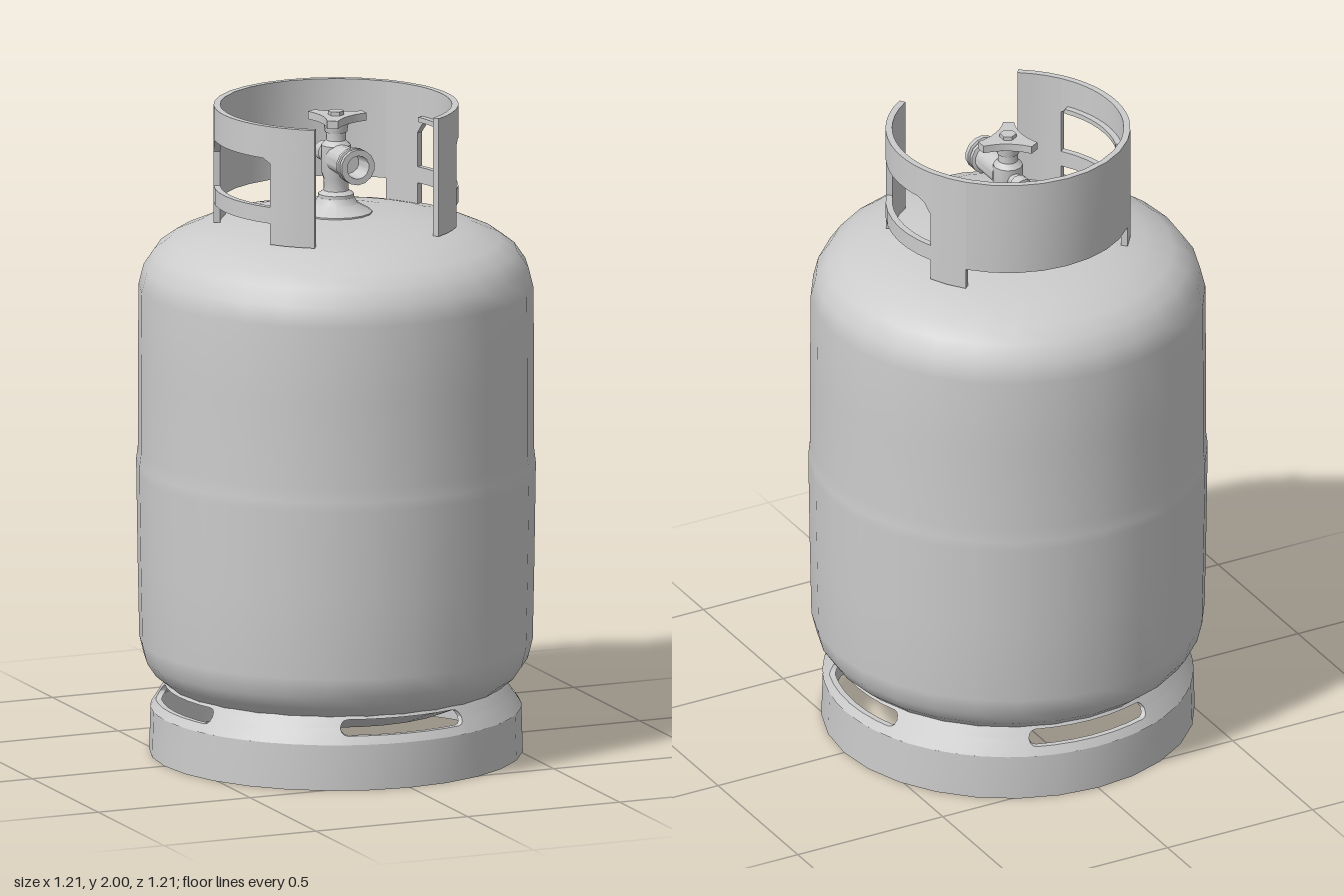
import * as THREE from 'three';
import { toCreasedNormals } from 'three/addons/utils/BufferGeometryUtils.js';

const DEG = Math.PI / 180;
const grey = new THREE.MeshStandardMaterial({ color: 0xcccccc, side: THREE.DoubleSide });

function add(parent, name, geometry, y = 0) {
  const mesh = new THREE.Mesh(geometry, grey);
  mesh.name = name;
  mesh.position.y = y;
  parent.add(mesh);
  return mesh;
}

function lathe(points, segments) {
  const geo = new THREE.LatheGeometry(points.map(([r, y]) => new THREE.Vector2(r, y)), segments);
  return geo;
}

const creased = (geo) => toCreasedNormals(geo, 35 * DEG);

// Evenly spaced angles in degrees, measured from the front (+z) towards +x
function sweep(from, to, steps) {
  return Array.from({ length: steps + 1 }, (_, i) => from + ((to - from) * i) / steps);
}

// Curved wall: low, high and radius may be numbers or functions
function band(angles, low, high, radius, thickness) {
  const value = (f, v) => (typeof f === 'function' ? f(v) : f);
  const pos = [], index = [];
  for (const a of angles) {
    const y0 = value(low, a), y1 = value(high, a);
    const r0 = value(radius, y0), r1 = value(radius, y1);
    for (const [r, y] of [[r0, y0], [r1, y1], [r1 - thickness, y1], [r0 - thickness, y0]]) {
      pos.push(r * Math.sin(a * DEG), y, r * Math.cos(a * DEG));
    }
  }
  const n = angles.length - 1;
  for (let i = 0; i < n; i++) {
    for (let k = 0; k < 4; k++) {
      const a = i * 4 + k, d = i * 4 + ((k + 1) % 4), b = a + 4, c = d + 4;
      index.push(a, b, c, a, c, d);
    }
  }
  // Close the ends of a wall that is not a full ring
  if (angles[n] - angles[0] < 359.9) {
    const e = n * 4;
    index.push(0, 1, 2, 0, 2, 3, e, e + 2, e + 1, e, e + 3, e + 2);
  }
  const geo = new THREE.BufferGeometry();
  geo.setAttribute('position', new THREE.Float32BufferAttribute(pos, 3));
  geo.setIndex(index);
  return creased(geo);
}

function buildTank(group) {
  add(group, 'tankBody', lathe([
    [0, 0.11], [0.2, 0.12], [0.36, 0.15], [0.47, 0.195], [0.51, 0.215], [0.553, 0.25],
    [0.58, 0.29], [0.595, 0.35], [0.6, 0.6], [0.604, 0.87], [0.604, 0.9], [0.599, 0.94],
    [0.599, 1.2], [0.597, 1.44], [0.582, 1.5], [0.548, 1.55], [0.5, 1.585], [0.42, 1.62],
    [0.33, 1.64], [0.2, 1.66], [0, 1.672],
  ], 28));
}

function buildFootRing(group) {
  const ring = new THREE.Group();
  ring.name = 'footRing';
  group.add(ring);
  add(ring, 'footSkirt', band(sweep(0, 360, 28), 0, 0.14, (y) => 0.565 - y * 0.03, 0.018));

  // Four rounded slots through the sloping shoulder
  const halfWidth = 22, corner = 2.4, mid = 0.187, halfHeight = 0.0225;
  const slot = (a) => {
    const d = Math.abs(a - 90 * Math.round(a / 90));
    if (d >= halfWidth) return 0;
    const t = Math.max(0, (d - halfWidth + corner) / corner);
    return halfHeight * Math.sqrt(1 - t * t);
  };
  const half = [7, 14, 19.6, 20.8, 21.6, 22, 29, 37, 45];
  const offsets = [...half.slice(0, -1).map((d) => -d).reverse(), 0, ...half];
  const angles = [-45];
  for (let q = 0; q < 4; q++) angles.push(...offsets.map((d) => q * 90 + d));
  const slope = (y) => 0.561 - (y - 0.14) * 0.62;
  add(ring, 'lowerShoulder', band(angles, 0.14, (a) => mid - slot(a), slope, 0.018));
  add(ring, 'upperShoulder', band(angles, (a) => mid + slot(a), 0.222, slope, 0.018));
}

function buildCollar(group) {
  const collar = new THREE.Group();
  collar.name = 'collar';
  group.add(collar);
  const R = 0.37, T = 0.02;
  add(collar, 'collarBackWall', band(sweep(131, 229, 8), 1.7, 2, R, T));

  for (const side of [1, -1]) {
    const label = side > 0 ? 'left' : 'right';
    const arc = (from, to, n) => (side > 0 ? sweep(from, to, n) : sweep(-to, -from, n));
    // Handle opening with rounded upper corners
    const openingTop = (a) => {
      const d = Math.abs(a);
      const front = Math.max(0, 1 - (d - 56) / 3), back = Math.max(0, 1 - (112 - d) / 8);
      return 1.9 - 0.015 * front * front - 0.045 * back * back;
    };
    add(collar, label + 'FrontPost', band(arc(33.5, 56, 3), 1.635, 2, R, T));
    add(collar, label + 'BackPost', band(arc(112, 131, 2), 1.635, 2, R, T));
    add(collar, label + 'Handle', band(arc(56, 112, 14), openingTop, 2, R, T));
    add(collar, label + 'HandleLip', band(arc(60, 108, 8), 1.895, 1.91, R - T + 0.003, 0.022));
    add(collar, label + 'LowerRail', band(arc(56, 112, 7), 1.7, 1.75, R, T));
  }
}

function buildValve(group) {
  const valve = new THREE.Group();
  valve.name = 'valve';
  group.add(valve);
  add(valve, 'valveBoss', creased(lathe([
    [0.11, 1.655], [0.11, 1.67], [0.065, 1.695], [0.055, 1.715], [0, 1.715],
  ], 16)));
  add(valve, 'valveNeck', creased(lathe([
    [0.055, 1.7], [0.055, 1.725], [0.038, 1.735], [0.038, 1.77], [0.045, 1.79],
    [0.045, 1.875], [0.03, 1.89], [0.03, 1.915], [0.02, 1.92], [0.02, 1.95], [0, 1.95],
  ], 12)));

  // Threaded outlet towards the front with a small relief stub behind
  const outlet = add(valve, 'outlet', creased(lathe([
    [0, -0.1], [0.03, -0.1], [0.03, -0.065], [0.023, -0.06], [0.023, 0], [0.044, 0.02],
    [0.044, 0.125], [0.055, 0.128], [0.055, 0.14], [0.048, 0.143], [0.048, 0.15],
    [0.055, 0.153], [0.055, 0.168], [0.036, 0.168], [0.032, 0.1], [0, 0.1],
  ], 14)), 1.838);
  outlet.rotation.x = Math.PI / 2;

  // Three-lobed hand wheel
  const shape = new THREE.Shape();
  for (let i = 0; i < 3; i++) {
    const point = (deg, r) => [r * Math.cos((deg + i * 120) * DEG), r * Math.sin((deg + i * 120) * DEG)];
    if (i === 0) shape.moveTo(...point(-10, 0.095));
    else shape.lineTo(...point(-10, 0.095));
    shape.lineTo(...point(10, 0.095));
    shape.quadraticCurveTo(...point(60, 0.03), ...point(110, 0.095));
  }
  const wheel = new THREE.ExtrudeGeometry(shape, { depth: 0.024, bevelEnabled: false, curveSegments: 6 });
  wheel.rotateX(-Math.PI / 2);
  add(valve, 'handWheel', creased(wheel), 1.944);
  add(valve, 'wheelHub', creased(new THREE.CylinderGeometry(0.04, 0.034, 0.04, 12)), 1.935);
  add(valve, 'wheelNut', creased(new THREE.CylinderGeometry(0.025, 0.025, 0.02, 6)), 1.97);
}

export function createModel() {
  const group = new THREE.Group();
  group.name = 'gasCylinder';
  buildTank(group);
  buildFootRing(group);
  buildCollar(group);
  buildValve(group);
  return group;
}
